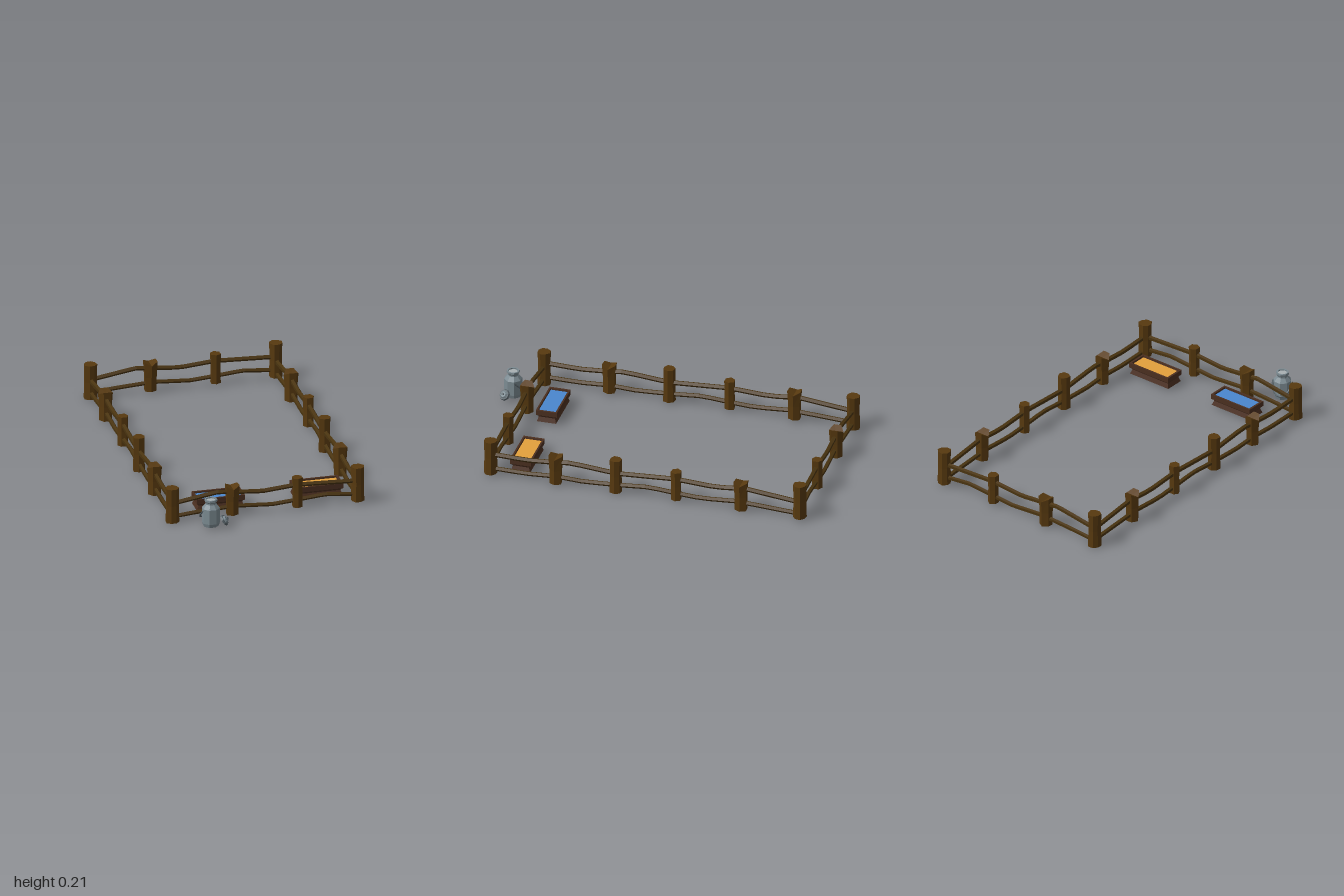
import * as THREE from 'three';

const mat = (color, side = THREE.FrontSide) => new THREE.MeshStandardMaterial({ color, side, flatShading: true });
const wood = mat(0x57390f), railWood = mat(0x4a3410), troughWood = mat(0x4b2f20);
const metal = mat(0x7c8b92), darkMetal = mat(0x59646a), pale = mat(0xa9b0b3);

function add(parent, name, geometry, material, x = 0, y = 0, z = 0) {
  const m = new THREE.Mesh(geometry, material);
  m.name = name;
  m.position.set(x, y, z);
  parent.add(m);
  return m;
}

// Rough hewn post; fork > 0 raises the two ends of the top along x
function postGeometry(rTop, rBottom, bottom, top, sides, fork = 0) {
  const g = new THREE.CylinderGeometry(rTop, rBottom, top - bottom, sides, 2);
  g.translate(0, (top + bottom) / 2, 0);
  const p = g.attributes.position;
  for (let i = 0; i < p.count; i++) {
    const x = p.getX(i), y = p.getY(i), z = p.getZ(i);
    const upper = y > top - 0.001, mid = !upper && y > bottom + 0.001;
    const k = 1 + 0.06 * Math.sin(Math.atan2(z, x) * 3 + 1) - (mid ? 0.07 : 0);
    p.setXYZ(i, x * k, upper ? y + fork * (Math.abs(x) / rTop - 0.5) : y, z * k);
  }
  return g;
}

const posts = {
  corner: postGeometry(0.037, 0.038, 0.003, 0.203, 8),
  tall: postGeometry(0.034, 0.035, 0.008, 0.208, 7),
  thin: postGeometry(0.031, 0.03, 0.014, 0.187, 6),
  forked: postGeometry(0.042, 0.036, 0.01, 0.176, 6, 0.022),
};

// Crooked rail through a few points
function rail(parent, name, points, r) {
  const curve = new THREE.CurvePath();
  const v = points.map(p => new THREE.Vector3(...p));
  for (let i = 1; i < v.length; i++) curve.add(new THREE.LineCurve3(v[i - 1], v[i]));
  add(parent, name, new THREE.TubeGeometry(curve, 24, r, 5), railWood);
}

// Closed trough body from stacked rectangles [half width, y, half depth]
function troughGeometry(rings) {
  const pos = [], idx = [];
  for (const [w, y, d] of rings) pos.push(-w, y, d, w, y, d, w, y, -d, -w, y, -d);
  for (let r = 0; r < rings.length - 1; r++) {
    for (let s = 0; s < 4; s++) {
      const a = r * 4 + s, b = r * 4 + (s + 1) % 4;
      idx.push(a, b, b + 4, a, b + 4, a + 4);
    }
  }
  const e = (rings.length - 1) * 4;
  idx.push(0, 2, 1, 0, 3, 2, e, e + 1, e + 2, e, e + 2, e + 3);
  const g = new THREE.BufferGeometry();
  g.setAttribute('position', new THREE.Float32BufferAttribute(pos, 3));
  g.setIndex(idx);
  const out = g.toNonIndexed();
  out.computeVertexNormals();
  return out;
}

function trough(name, x, z, color) {
  const g = new THREE.Group();
  g.name = name;
  // flared foot, narrow waist, wide rim, inner wall down to the floor
  add(g, 'troughBody', troughGeometry([
    [0.134, 0.01, 0.055], [0.124, 0.036, 0.046], [0.128, 0.044, 0.05], [0.136, 0.05, 0.06],
    [0.136, 0.079, 0.06], [0.124, 0.079, 0.05], [0.122, 0.055, 0.048],
  ]), troughWood);
  const fill = add(g, 'troughFilling', new THREE.PlaneGeometry(0.248, 0.1), mat(color), 0, 0.069, 0);
  fill.rotation.x = -Math.PI / 2;
  g.position.set(x, 0, z);
  return g;
}

function milkCan() {
  const g = new THREE.Group();
  g.name = 'milkCan';
  const profile = [[0, 0.01], [0.044, 0.01], [0.05, 0.03], [0.05, 0.115], [0.03, 0.138], [0.03, 0.146],
    [0.036, 0.154], [0.036, 0.165], [0.027, 0.165], [0.027, 0.157]];
  add(g, 'canBody', new THREE.LatheGeometry(profile.map(p => new THREE.Vector2(...p)), 8, Math.PI / 8),
    mat(0x7c8b92, THREE.DoubleSide));
  const mouth = add(g, 'canMouth', new THREE.CircleGeometry(0.028, 8), pale, 0, 0.158, 0);
  mouth.rotation.x = -Math.PI / 2;

  // bail handle hanging down behind the can
  const pts = [];
  for (let i = 0; i <= 8; i++) {
    const a = Math.PI * i / 8;
    pts.push(new THREE.Vector3(0.054 * Math.cos(a), 0.108 - 0.066 * Math.sin(a), -0.066 * Math.sin(a)));
  }
  const bail = add(g, 'canHandle', new THREE.TubeGeometry(new THREE.CatmullRomCurve3(pts), 12, 0.005, 5), darkMetal);
  bail.rotation.y = 0.45;

  // loose lid leaning against the can
  const lid = new THREE.Group();
  lid.name = 'canLid';
  add(lid, 'lidDisc', new THREE.CylinderGeometry(0.029, 0.033, 0.01, 8), darkMetal);
  add(lid, 'lidTop', new THREE.CylinderGeometry(0.016, 0.024, 0.01, 8), metal, 0, 0.009, 0);
  add(lid, 'lidKnob', new THREE.CylinderGeometry(0.008, 0.006, 0.01, 6), darkMetal, 0, 0.018, 0);
  lid.position.set(0.07, 0.044, 0.03);
  lid.quaternion.setFromUnitVectors(new THREE.Vector3(0, 1, 0), new THREE.Vector3(0.8, 0.62, 0.35).normalize());
  g.add(lid);
  g.position.set(-0.338, 0, 0.925);
  return g;
}

export function createModel() {
  const model = new THREE.Group();
  const fence = new THREE.Group();
  fence.name = 'fence';
  model.add(fence);
  const X = 0.525, zBack = -0.958, zFront = 0.803;

  // Short ends: rails as [x, height], two posts between the corners
  const endUpper = [[-X, 0.107], [-0.27, 0.148], [-0.18, 0.14], [-0.02, 0.126], [0.18, 0.143], [X, 0.13]];
  const endLower = [[-X, 0.03], [-0.38, 0.043], [-0.17, 0.056], [0.04, 0.042], [0.18, 0.053], [0.34, 0.068], [X, 0.05]];
  for (const z of [zBack, zFront]) {
    rail(fence, 'upperEndRail', endUpper.map(([x, y]) => [x, y, z]), 0.013);
    rail(fence, 'lowerEndRail', endLower.map(([x, y]) => [x, y, z]), 0.012);
    add(fence, 'forkedPost', posts.forked, wood, -0.186, 0, z);
    add(fence, 'thinPost', posts.thin, wood, 0.183, 0, z);
    for (const x of [-X, X]) {
      add(fence, 'cornerPost', posts.corner, wood, x, x > 0 ? 0.011 : -0.002, z).rotation.y = x * 0.6;
    }
  }

  // Long sides: rails as [z, height], four posts between the corners
  const sideUpper = [[zFront, 0.13], [0.6, 0.122], [0.43, 0.134], [0.35, 0.144], [0.09, 0.12], [-0.1, 0.13],
    [-0.25, 0.138], [-0.48, 0.124], [-0.65, 0.14], [zBack, 0.105]];
  const sideLower = [[zFront, 0.042], [0.6, 0.038], [0.43, 0.047], [0.28, 0.039], [0.09, 0.048], [-0.1, 0.063],
    [-0.25, 0.05], [-0.4, 0.041], [-0.6, 0.054], [zBack, 0.033]];
  const sidePosts = [['forked', -0.625], ['thin', -0.255], ['tall', 0.09], ['forked', 0.43]];
  for (const x of [-X, X]) {
    rail(fence, 'upperSideRail', sideUpper.map(([z, y]) => [x, y, z]), 0.014);
    rail(fence, 'lowerSideRail', sideLower.map(([z, y]) => [x, y, z]), 0.013);
    for (const [kind, z] of sidePosts) {
      add(fence, kind + 'Post', posts[kind], wood, x, 0, z).rotation.y = Math.PI / 2;
    }
  }

  model.add(trough('waterTrough', -0.228, 0.665, 0x4a87cf));
  model.add(trough('feedTrough', 0.332, 0.65, 0xe3a03c));
  model.add(milkCan());
  return model;
}
